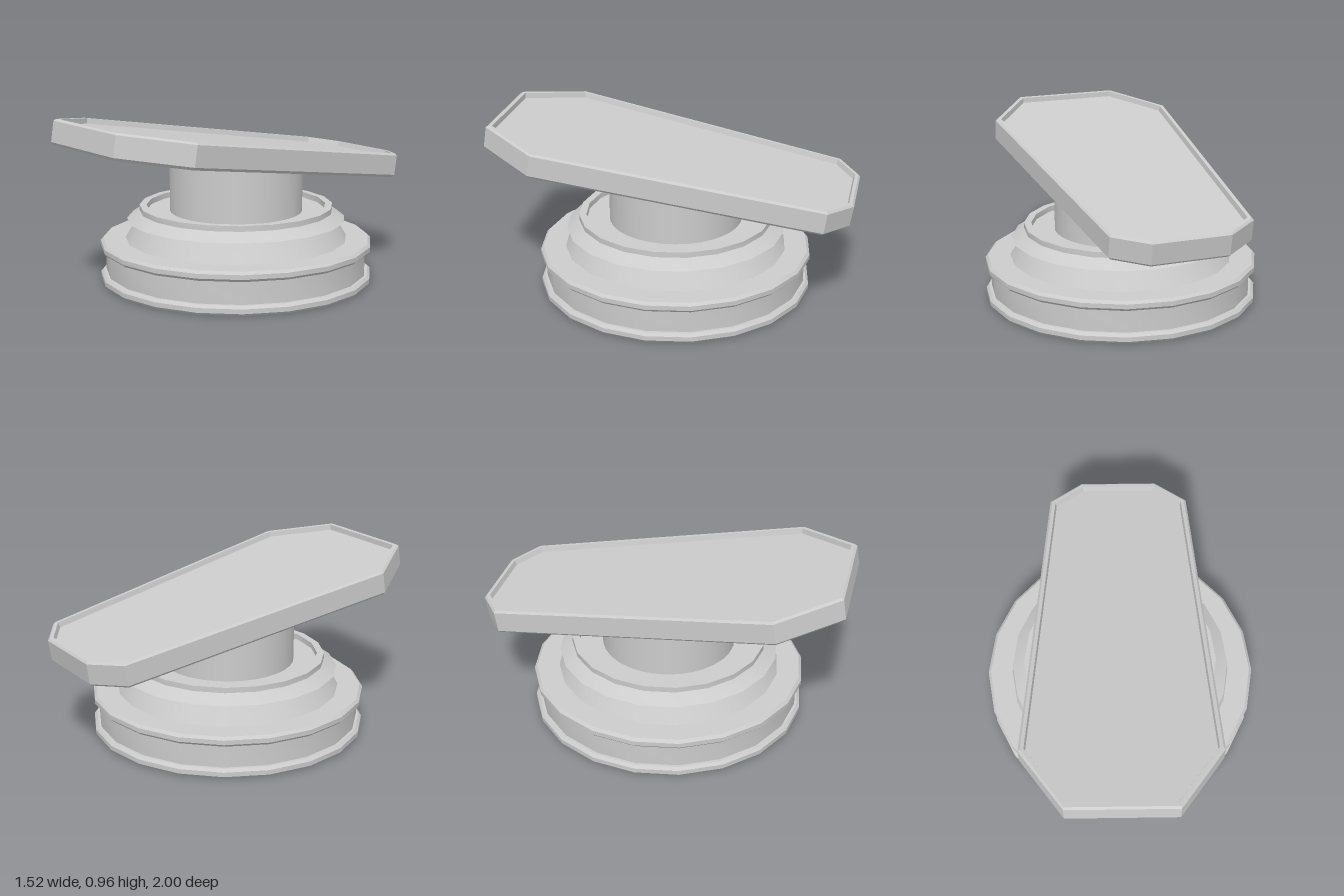
import * as THREE from 'three';
import { toCreasedNormals } from 'three/addons/utils/BufferGeometryUtils.js';

const SIDES = 20;
const TILT = 0.16;      // slope angle of the platform
const SLAB_Y = 0.73;    // height of the platform's centre

const material = new THREE.MeshStandardMaterial({ color: 0xcccccc, side: THREE.DoubleSide });
const flatMaterial = new THREE.MeshStandardMaterial({ color: 0xcccccc, flatShading: true });

// Turned part: open shell from [radius, height] pairs, with crisp profile edges
function turned(name, profile) {
  const points = profile.map(([r, y]) => new THREE.Vector2(r, y));
  const geometry = toCreasedNormals(new THREE.LatheGeometry(points, SIDES), 0.45);
  const mesh = new THREE.Mesh(geometry, material);
  mesh.name = name;
  return mesh;
}

// Rim band with bevelled outer edges, from y0 to y1
function rim(y0, y1, inner) {
  const b = 0.015, r = 0.76;
  return [[inner, y0], [r - b, y0], [r, y0 + b], [r, y1 - b], [r - b, y1], [inner, y1]];
}

// Moves every edge of a convex outline inwards by d
function inset(outline, d) {
  const n = outline.length;
  const edgeNormal = (i) => {
    const [ax, az] = outline[i % n], [bx, bz] = outline[(i + 1) % n];
    const l = Math.hypot(bx - ax, bz - az);
    return [(az - bz) / l, (bx - ax) / l];
  };
  return outline.map(([x, z], i) => {
    const [px, pz] = edgeNormal(i + n - 1), [qx, qz] = edgeNormal(i);
    const k = d / (1 + px * qx + pz * qz);
    return [x + (px + qx) * k, z + (pz + qz) * k];
  });
}

// Solid from stacked insets of an outline, each level [inset, height], bottom first
function layered(outline, levels) {
  const n = outline.length;
  const rings = levels.map(([d, y]) => inset(outline, d).map(([x, z]) => [x, y, z]));
  const positions = [];
  const tri = (a, b, c) => positions.push(...a, ...b, ...c);
  for (let l = 0; l < rings.length - 1; l++) {
    for (let i = 0; i < n; i++) {
      const j = (i + 1) % n;
      const a = rings[l][i], b = rings[l][j], c = rings[l + 1][j], d = rings[l + 1][i];
      tri(a, c, b);
      tri(a, d, c);
    }
  }
  const bottom = rings[0], top = rings[rings.length - 1];
  for (let i = 1; i < n - 1; i++) {
    tri(bottom[0], bottom[i], bottom[i + 1]);
    tri(top[0], top[i + 1], top[i]);
  }
  const geometry = new THREE.BufferGeometry();
  geometry.setAttribute('position', new THREE.Float32BufferAttribute(positions, 3));
  geometry.computeVertexNormals();
  return geometry;
}

export function createModel() {
  const group = new THREE.Group();

  // Hollow drum with a rim at foot and top, closed by a shelf up to the cone
  group.add(turned('baseDrum', [...rim(0, 0.055, 0.73), ...rim(0.18, 0.235, 0.73), [0.615, 0.235]]));

  // Sloping shoulder
  group.add(turned('shoulder', [[0.62, 0.235], [0.555, 0.345], [0.53, 0.388]]));

  // Flared collar with a raised lip and a sunken floor around the column
  group.add(turned('collar', [
    [0.555, 0.345], [0.61, 0.345], [0.54, 0.39], [0.54, 0.42],
    [0.5, 0.42], [0.5, 0.388], [0.368, 0.388],
  ]));

  // Open column whose upper end is cut to the slope of the platform
  const columnGeometry = new THREE.CylinderGeometry(0.37, 0.37, 1, 32, 1, true);
  const p = columnGeometry.attributes.position;
  for (let i = 0; i < p.count; i++) {
    const top = SLAB_Y - 0.06 + p.getZ(i) * Math.tan(TILT);
    p.setY(i, p.getY(i) > 0 ? top : 0.388);
  }
  const column = new THREE.Mesh(columnGeometry, material);
  column.name = 'column';
  group.add(column);

  // Tilted eight-sided platform with bevelled edges and a sunken top
  const half = [[0.295, 1.003], [0.53, 0.68], [0.385, -0.88], [0.21, -1.003]];
  const mirrored = half.map(([x, z]) => [-x, z]).reverse();
  const outline = [...half, ...mirrored].reverse();
  const platform = new THREE.Mesh(layered(outline, [
    [0.015, -0.069], [0, -0.054], [0, 0.058], [0.011, 0.069],
    [0.03, 0.069], [0.036, 0.04],
  ]), flatMaterial);
  platform.name = 'platform';
  platform.position.y = SLAB_Y;
  platform.rotation.x = -TILT;
  group.add(platform);

  return group;
}
